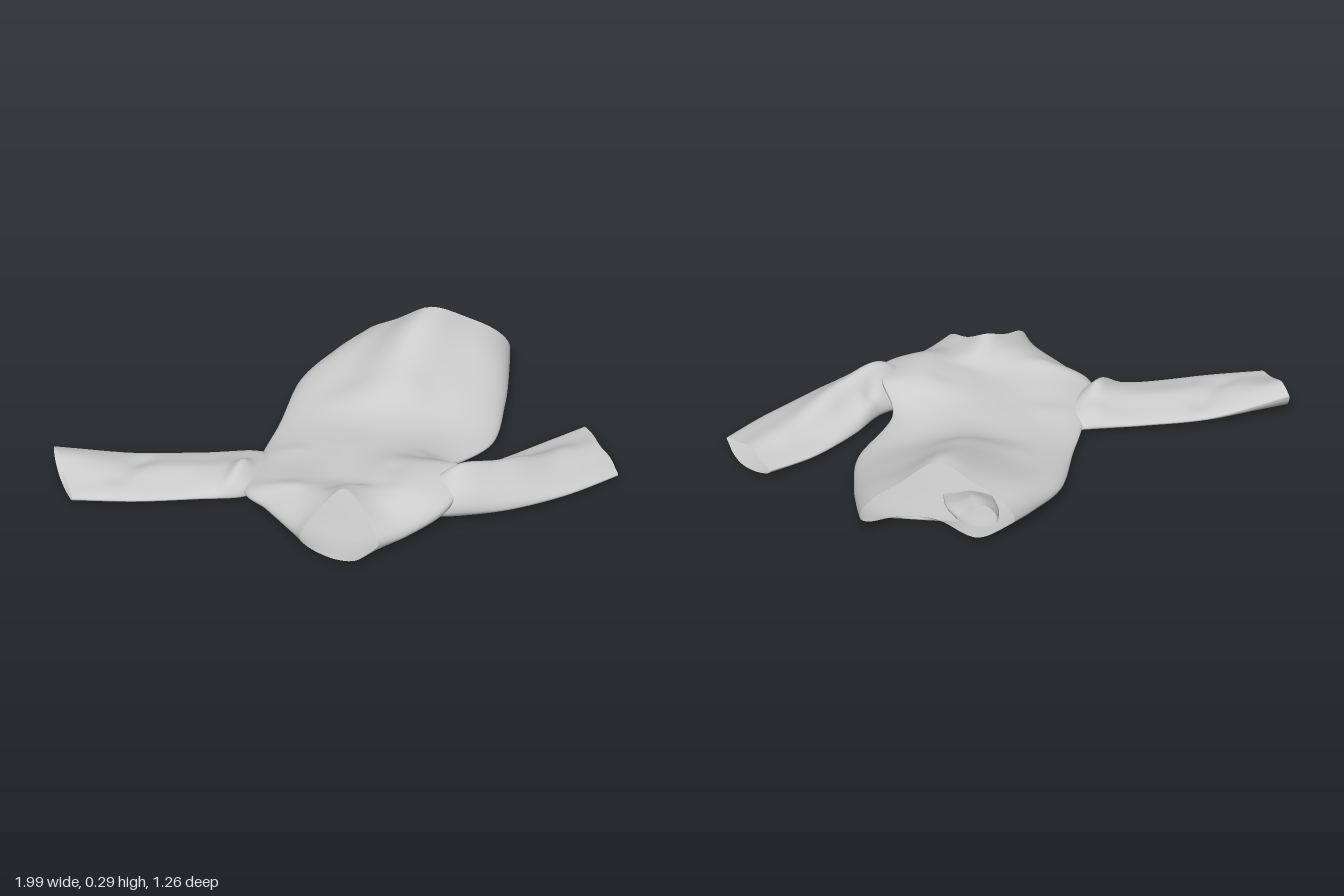
import * as THREE from 'three';

const material = new THREE.MeshStandardMaterial({ color: 0xcccccc, side: THREE.DoubleSide });

// Smooth curve through evenly spaced values, t from 0 to 1
function smooth(values, t) {
  const n = values.length - 1;
  const i = Math.min(Math.floor(t * n), n - 1);
  const f = t * n - i;
  const at = (k) => values[Math.max(0, Math.min(n, k))];
  const p0 = at(i - 1), p1 = at(i), p2 = at(i + 1), p3 = at(i + 2);
  return p1 + 0.5 * f * (p2 - p0 + f * (2 * p0 - 5 * p1 + 4 * p2 - p3 + f * (3 * (p1 - p2) + p3 - p0)));
}

// Creases in the upper cloth: start x, z, end x, z, height, width
const creases = [
  [-0.42, 0.10, -0.35, 0.03, 0.03, 0.03],
  [-0.36, 0.15, -0.22, 0.24, 0.02, 0.04],
  [-0.30, -0.08, -0.12, -0.02, 0.012, 0.04],
  [0.42, 0.27, 0.30, 0.17, 0.012, 0.03],
  [0.44, 0.31, 0.39, 0.27, -0.04, 0.025],
  [0.08, 0.40, 0.16, 0.28, -0.015, 0.05],
  [0.10, -0.25, 0.36, -0.18, 0.012, 0.06],
  [-0.80, -0.08, -0.68, -0.16, -0.015, 0.04],
  [0.62, 0.30, 0.82, 0.24, 0.01, 0.04],
];

function creaseHeight(x, z) {
  let y = 0.003 * Math.sin(17 * x + 9 * z) * Math.sin(13 * z - 6 * x);
  for (const [x1, z1, x2, z2, h, w] of creases) {
    const dx = x2 - x1, dz = z2 - z1;
    const t = THREE.MathUtils.clamp(((x - x1) * dx + (z - z1) * dz) / (dx * dx + dz * dz), 0, 1);
    const d = Math.hypot(x - x1 - t * dx, z - z1 - t * dz) / w;
    y += h * Math.exp(-d * d);
  }
  return y;
}

// Section: two edge points [x, z], their heights, three heights across the top,
// three shifts along the length for the top and bottom layers, and the floor height
const section = (a, b, edges, heights, top = [0, 0, 0], bottom = [0, 0, 0], floor = 0) =>
  [...a, ...b, ...edges, ...heights, ...top, ...bottom, floor];

// Open, flattened cloth tube lofted through the sections
function clothTube(name, sections, rows, half = 28) {
  const ring = half * 2;
  const positions = [], index = [];
  for (let i = 0; i <= rows; i++) {
    const [ax, az, bx, bz, ea, eb, h1, h2, h3, t1, t2, t3, b1, b2, b3, floor] =
      sections[0].map((_, k) => smooth(sections.map((s) => s[k]), i / rows));
    const length = Math.hypot(bx - ax, bz - az);
    for (let j = 0; j < ring; j++) {
      const upper = j <= half;
      const angle = Math.PI * (upper ? j : ring - j) / half;
      const s = (1 - Math.cos(angle)) / 2;
      const round = Math.pow(Math.max(0, Math.sin(Math.PI * s)), upper ? 0.55 : 0.45);
      const shift = smooth(upper ? [0, t1, t2, t3, 0] : [0, b1, b2, b3, 0], s);
      const x = ax + (bx - ax) * s - shift * (bz - az) / length;
      const z = az + (bz - az) * s + shift * (bx - ax) / length;
      const edge = ea + (eb - ea) * s;
      const target = upper ? smooth([h1, h1, h2, h3, h3], s) + creaseHeight(x, z) : floor;
      positions.push(x, Math.max(0, edge + (target - edge) * round), z);
    }
  }
  for (let i = 0; i < rows; i++) {
    for (let j = 0; j < ring; j++) {
      const a = i * ring + j, b = i * ring + (j + 1) % ring;
      index.push(a, b, a + ring, b, b + ring, a + ring);
    }
  }
  const geometry = new THREE.BufferGeometry();
  geometry.setAttribute('position', new THREE.Float32BufferAttribute(positions, 3));
  geometry.setIndex(index);
  geometry.computeVertexNormals();
  const mesh = new THREE.Mesh(geometry, material);
  mesh.name = name;
  return mesh;
}

export function createModel() {
  const group = new THREE.Group();
  group.name = 'crumpledShirt';

  // Torso, from the neck opening to the raised hem
  group.add(clothTube('torso', [
    section([-0.27, 0.49], [0.0, 0.605], [0.07, 0.06], [0.165, 0.19, 0.16], [-0.10, -0.16, -0.11], [0.025, 0.05, 0.055], 0.015),
    section([-0.28, 0.41], [0.14, 0.555], [0.05, 0.05], [0.165, 0.165, 0.14], [-0.09, -0.14, -0.06]),
    section([-0.33, 0.25], [0.32, 0.485], [0.05, 0.10], [0.14, 0.13, 0.175], [-0.03, -0.06, -0.02]),
    section([-0.37, 0.11], [0.39, 0.32], [0.045, 0.15], [0.11, 0.11, 0.165]),
    section([-0.22, -0.12], [0.40, 0.21], [0.035, 0.06], [0.09, 0.105, 0.12]),
    section([-0.12, -0.26], [0.60, 0.07], [0.035, 0.02], [0.10, 0.12, 0.095]),
    section([0.02, -0.47], [0.71, -0.13], [0.05, 0.04], [0.155, 0.22, 0.17]),
    section([0.17, -0.57], [0.77, -0.28], [0.06, 0.065], [0.21, 0.275, 0.23], [0.02, 0.02, 0.0]),
    section([0.28, -0.62], [0.81, -0.40], [0.06, 0.09], [0.235, 0.29, 0.25], [0.03, 0.05, 0.015], [-0.06, 0.08, 0.09], 0.02),
  ], 72, 32));

  // Loose cloth tucked inside the hem
  group.add(clothTube('hemFold', [
    section([0.33, -0.58], [0.46, -0.50], [0.05, 0.05], [0.12, 0.11, 0.08], undefined, undefined, 0.02),
    section([0.29, -0.50], [0.46, -0.40], [0.04, 0.04], [0.10, 0.10, 0.07], undefined, undefined, 0.02),
    section([0.26, -0.38], [0.42, -0.29], [0.02, 0.02], [0.04, 0.04, 0.03], undefined, undefined, 0.01),
  ], 12, 12));

  // Right sleeve, lying flat with its cuff lifted at the rear corner
  group.add(clothTube('rightSleeve', [
    section([-0.30, 0.10], [-0.18, -0.09], [0.02, 0.02], [0.06, 0.06, 0.05], undefined, undefined, 0.01),
    section([-0.39, 0.13], [-0.27, -0.125], [0.03, 0.03], [0.10, 0.09, 0.075]),
    section([-0.55, 0.09], [-0.46, -0.18], [0.025, 0.025], [0.065, 0.07, 0.06]),
    section([-0.77, 0.04], [-0.70, -0.245], [0.025, 0.03], [0.06, 0.07, 0.065]),
    section([-0.99, -0.03], [-0.98, -0.30], [0.03, 0.08], [0.06, 0.08, 0.11]),
  ], 40));

  // Left sleeve, high at the shoulder and flattened towards the cuff
  group.add(clothTube('leftSleeve', [
    section([0.22, 0.29], [0.18, 0.43], [0.03, 0.03], [0.05, 0.05, 0.05], undefined, undefined, 0.01),
    section([0.40, 0.28], [0.33, 0.49], [0.05, 0.06], [0.165, 0.19, 0.165]),
    section([0.55, 0.21], [0.53, 0.50], [0.03, 0.04], [0.10, 0.16, 0.14]),
    section([0.75, 0.135], [0.77, 0.465], [0.025, 0.03], [0.065, 0.09, 0.08]),
    section([0.95, 0.09], [0.99, 0.39], [0.04, 0.02], [0.06, 0.065, 0.05], [0, 0.01, 0], [-0.02, -0.03, -0.02]),
  ], 40));

  return group;
}
